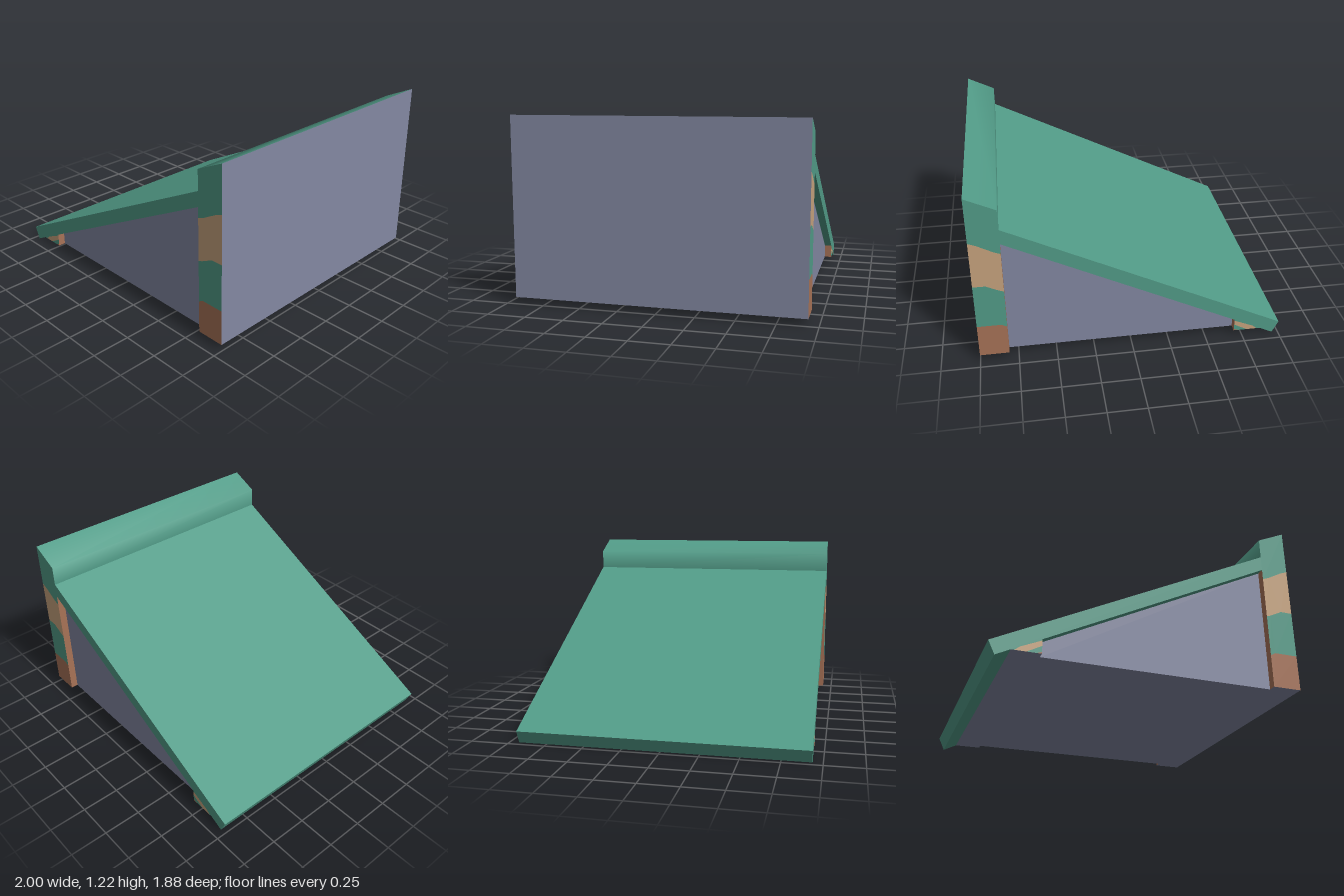
import * as THREE from 'three';

const D = 0.9375;  // half depth of the roof, pillar and toe
const DB = 0.8875; // half depth of the recessed side panels

export function createModel() {
  const model = new THREE.Group();
  const material = (name, color) => {
    const m = new THREE.MeshStandardMaterial({ color });
    m.name = name;
    return m;
  };
  const green = material('green', 0x529c88);
  const slate = material('slate', 0x8388a2);
  const tan = material('tan', 0xc8a47e);
  const brown = material('brown', 0xa87357);

  const add = (name, geometry, mat) => {
    const mesh = new THREE.Mesh(geometry, mat);
    mesh.name = name;
    model.add(mesh);
  };

  // Flat outline repeated on the front and back ends
  const ends = (name, points, mat, depth = D) => {
    const face = (sign) => new THREE.ShapeGeometry(
      new THREE.Shape(points.map(([x, y]) => new THREE.Vector2(sign * x, y)))).translate(0, 0, depth);
    add(name + 'Front', face(1), mat);
    add(name + 'Back', face(-1).rotateY(Math.PI), mat);
  };

  // Profile swept along z; a counterclockwise profile faces outward
  const sweep = (name, points, mat, depth = D, smooth = false) => {
    const pos = [], index = [];
    points.forEach(([x, y], i) => {
      pos.push(x, y, depth, x, y, -depth);
      const a = 2 * i;
      if (i < points.length - 1) index.push(a, a + 1, a + 3, a, a + 3, a + 2);
    });
    let g = new THREE.BufferGeometry();
    g.setAttribute('position', new THREE.Float32BufferAttribute(pos, 3));
    g.setIndex(index);
    if (!smooth) g = g.toNonIndexed();
    g.computeVertexNormals();
    add(name, g, mat);
  };

  // Sloping roof slab
  const roof = [[0.81, 0.99], [-1, 0.085], [-0.96, 0], [0.81, 0.89]];
  sweep('roofSlab', roof, green);
  ends('roofEdge', roof, green);

  // Pillar: softened cap, tall outer wall, inner reveal and underside
  sweep('pillarCap', [[1, 1.215], [0.81, 1.125], [0.81, 0.99]], green, D, true);
  sweep('outerWall', [[1, 0.045], [1, 1.215]], slate);
  sweep('pillarReveal', [[0.81, 0.89], [0.81, 0.045]], brown);
  sweep('pillarBase', [[0.81, 0.045], [1, 0.045]], slate);

  // Wavy colour bands on the pillar ends, each listed left to right
  const levels = [
    [[0.81, 0.045], [1, 0.045]],
    [[0.81, 0.262], [0.845, 0.28], [1, 0.28]],
    [[0.81, 0.54], [0.84, 0.55], [0.92, 0.59], [1, 0.59]],
    [[0.81, 0.82], [0.85, 0.835], [0.95, 0.89], [1, 0.91]],
    [[0.81, 1.125], [1, 1.215]],
  ];
  [brown, green, tan, green].forEach((mat, i) =>
    ends('pillarBand' + (i + 1), [...levels[i], ...levels[i + 1].slice().reverse()], mat));

  // Recessed triangular side panels and floor between them
  ends('sidePanel', [[-0.69, 0.045], [0.81, 0.045], [0.81, 0.89], [-0.69, 0.138]], slate, DB);
  sweep('floor', [[-0.69, 0.045], [0.81, 0.045]], slate, DB);

  // Small toe wedge under the low end of the roof
  sweep('toeBase', [[-0.87, 0.045], [-0.69, 0.045]], slate);
  sweep('toeReveal', [[-0.69, 0.045], [-0.69, 0.138]], brown);
  ends('toeTop', [[-0.87, 0.045], [-0.85, 0.045], [-0.82, 0.07], [-0.69, 0.128], [-0.69, 0.138]], green);
  ends('toeTan', [[-0.85, 0.045], [-0.78, 0.045], [-0.69, 0.094], [-0.69, 0.128], [-0.82, 0.07]], tan);
  ends('toeGreen', [[-0.78, 0.045], [-0.72, 0.045], [-0.69, 0.056], [-0.69, 0.094]], green);
  ends('toeBrown', [[-0.72, 0.045], [-0.69, 0.045], [-0.69, 0.056]], brown);

  return model;
}
